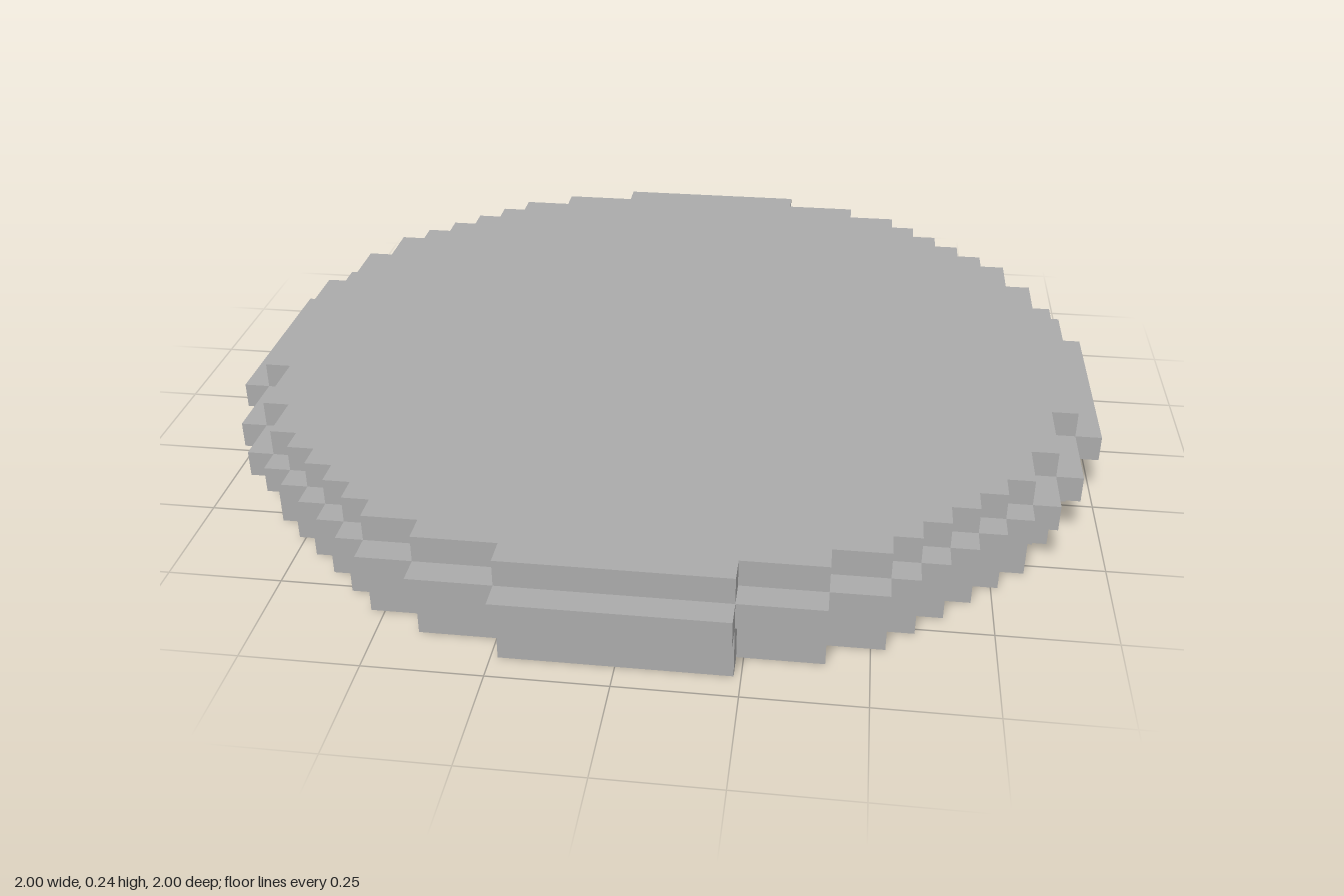
import * as THREE from 'three';

const U = 2 / 34; // one block of the stepped grid

// Quarter outline of the body: [half width in x, half depth in z], in blocks
const STEPS = [[4, 16], [7, 15], [9, 14], [10, 13], [11, 12], [12, 11], [13, 10], [14, 9], [15, 7], [16, 4]];

// Closed stepped outline, mirrored into all four quarters
function steppedDisc() {
  const quarter = [];
  STEPS.forEach(([x, z], i) => {
    quarter.push([x, z]);
    if (i < STEPS.length - 1) quarter.push([x, STEPS[i + 1][1]]);
  });
  const flipped = [...quarter].reverse();
  const outline = [
    ...quarter,
    ...flipped.map(([x, z]) => [x, -z]),
    ...quarter.map(([x, z]) => [-x, -z]),
    ...flipped.map(([x, z]) => [-x, z]),
  ];
  return new THREE.Shape(outline.map(([x, z]) => new THREE.Vector2(x * U, z * U)));
}

export function createModel() {
  const model = new THREE.Group();
  model.name = 'steppedRoundPlate';
  const grey = new THREE.MeshStandardMaterial({ color: 0xaaaaaa });
  grey.name = 'plain grey';

  // Body: solid stepped disc, four blocks tall
  const bodyGeometry = new THREE.ExtrudeGeometry(steppedDisc(), { depth: 4 * U, bevelEnabled: false });
  bodyGeometry.rotateX(-Math.PI / 2);
  const body = new THREE.Mesh(bodyGeometry, grey);
  body.name = 'body';
  model.add(body);

  // Rim: one-block-high ledge of bars around the body
  const rim = new THREE.Group();
  rim.name = 'rim';
  model.add(rim);
  const addBar = (x0, x1, z0, z1) => {
    const bar = new THREE.Mesh(new THREE.BoxGeometry((x1 - x0) * U, U, (z1 - z0) * U), grey);
    bar.name = 'rimBar';
    bar.position.set((x0 + x1) / 2 * U, 2.5 * U, (z0 + z1) / 2 * U);
    rim.add(bar);
  };

  // Long bars at the four sides
  for (const s of [-1, 1]) {
    const [a, b] = s > 0 ? [16, 17] : [-17, -16];
    addBar(-4, 4, a, b);
    addBar(a, b, -4, 4);
  }

  // Stair bars in the four quarters
  for (let i = 1; i < STEPS.length; i++) {
    const x0 = STEPS[i - 1][0], x1 = STEPS[i][0];
    const z0 = STEPS[i][1], z1 = STEPS[i - 1][1];
    for (const sx of [-1, 1]) {
      for (const sz of [-1, 1]) {
        const [xa, xb] = sx > 0 ? [x0, x1] : [-x1, -x0];
        const [za, zb] = sz > 0 ? [z0, z1] : [-z1, -z0];
        addBar(xa, xb, za, zb);
      }
    }
  }
  return model;
}
